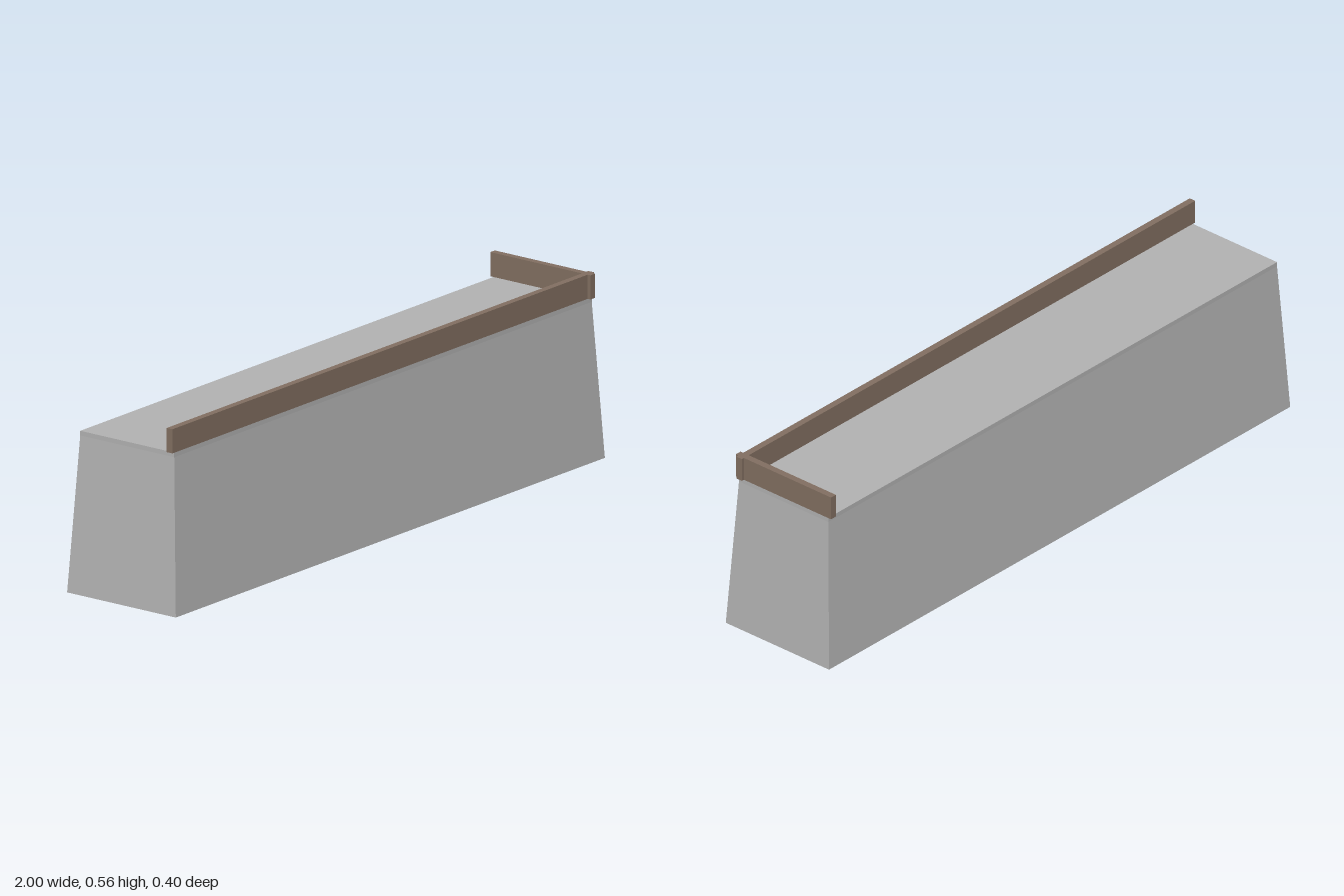
import * as THREE from 'three';

// Wall ring between two rectangles given as [halfWidth, y, halfDepth]
function wallStrip([x0, y0, z0], [x1, y1, z1]) {
  const corners = [[-1, 1], [1, 1], [1, -1], [-1, -1]];
  const pos = [];
  for (let i = 0; i < 4; i++) {
    const [a, b] = corners[i], [c, d] = corners[(i + 1) % 4];
    const p = [a * x0, y0, b * z0], q = [c * x0, y0, d * z0];
    const r = [c * x1, y1, d * z1], s = [a * x1, y1, b * z1];
    pos.push(...p, ...q, ...r, ...p, ...r, ...s);
  }
  const geo = new THREE.BufferGeometry();
  geo.setAttribute('position', new THREE.Float32BufferAttribute(pos, 3));
  geo.computeVertexNormals();
  return geo;
}

export function createModel() {
  const model = new THREE.Group();
  const stone = new THREE.MeshStandardMaterial({ color: 0xb4b4b4, side: THREE.DoubleSide });
  stone.name = 'grey stone';
  const timber = new THREE.MeshStandardMaterial({ color: 0x837062 });
  timber.name = 'brown timber';

  const add = (name, geo, mat, x = 0, y = 0, z = 0) => {
    const mesh = new THREE.Mesh(geo, mat);
    mesh.name = name;
    mesh.position.set(x, y, z);
    model.add(mesh);
    return mesh;
  };

  // Tapered body, open underneath, with a narrow upright lip
  const top = 0.487, lip = 0.473, hx = 0.973, hz = 0.173;
  add('taperedWalls', wallStrip([1, 0, 0.2], [hx, lip, hz]), stone);
  add('topLip', wallStrip([hx, lip, hz], [hx, top, hz]), stone);
  add('deck', new THREE.PlaneGeometry(hx * 2, hz * 2).rotateX(-Math.PI / 2), stone, 0, top, 0);

  // Two boards crossing at the front left corner
  const h = 0.073, y = top + h / 2;
  add('frontBoard', new THREE.BoxGeometry(1.966, h, 0.021), timber, 0, y, 0.1635);
  add('sideBoard', new THREE.BoxGeometry(0.021, h, 0.369), timber, 0.9635, y, 0);

  return model;
}
